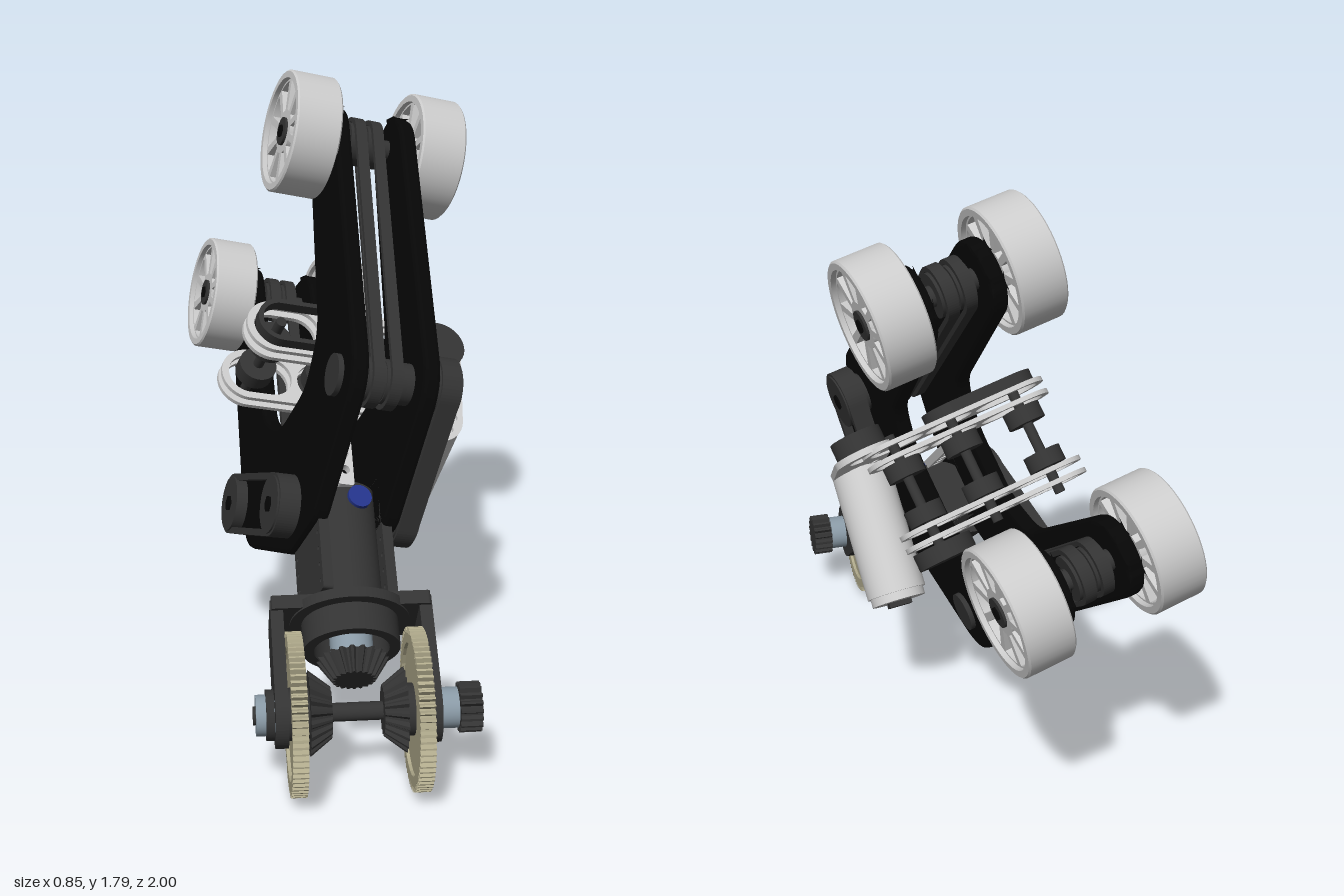
import * as THREE from 'three';

const mat = (color, side = THREE.FrontSide) => new THREE.MeshStandardMaterial({ color, side });
const BLACK = mat(0x060606), DARK = mat(0x333333), GREY = mat(0xcccccc);
const CREAM = mat(0xb0aa8c), STEEL = mat(0x8a9aa6), BLUE = mat(0x24348c);
const DARK_RING = mat(0x333333, THREE.DoubleSide), GREY_RING = mat(0xcccccc, THREE.DoubleSide);
const deg = Math.PI / 180;

function add(parent, name, geo, material, x = 0, y = 0, z = 0) {
  const m = new THREE.Mesh(geo, material);
  m.name = name;
  m.position.set(x, y, z);
  parent.add(m);
  return m;
}

// Extrusion centred on its depth
function slab(shape, depth, bevel = 0) {
  const g = new THREE.ExtrudeGeometry(shape, {
    depth: depth - 2 * bevel, curveSegments: 16, bevelEnabled: bevel > 0,
    bevelThickness: bevel, bevelSize: bevel, bevelOffset: -bevel, bevelSegments: 2,
  });
  return g.translate(0, 0, -depth / 2 + bevel);
}
// Shape (s, t): s runs rearward, t up, thickness across
const sideSlab = (shape, depth, bevel) => slab(shape, depth, bevel).rotateY(Math.PI / 2);
// Shape (x, s): lies flat, thickness upward
const flatSlab = (shape, depth) => slab(shape, depth).rotateX(-Math.PI / 2);
const rod = (r, len, seg = 32) => new THREE.CylinderGeometry(r, r, len, seg).rotateZ(Math.PI / 2);
const disc = (r, h) => new THREE.CylinderGeometry(r, r, h, 36);

// Square-edged ring about the y axis
function ring(inner, outer, width, chamfer = 0) {
  const h = width / 2, c = chamfer;
  const p = [[inner, -h], [outer - c, -h], [outer, c - h], [outer, h - c], [outer - c, h], [inner, h], [inner, -h]];
  const pts = p.flatMap((v) => [new THREE.Vector2(...v), new THREE.Vector2(...v)]);
  return new THREE.LatheGeometry(pts, 48);
}
function capsule(p, q, r, Type = THREE.Shape) {
  const a = Math.atan2(q[1] - p[1], q[0] - p[0]), h = Math.PI / 2;
  const s = new Type();
  s.absarc(q[0], q[1], r, a - h, a + h, false);
  s.absarc(p[0], p[1], r, a + h, a + 3 * h, false);
  s.closePath();
  return s;
}
function loop(p, q, r, wall) {
  const s = capsule(p, q, r);
  s.holes.push(capsule(p, q, r - wall, THREE.Path));
  return s;
}
function circle(x, y, r) {
  return new THREE.Path().absarc(x, y, r, 0, Math.PI * 2, true);
}
// Polygon with rounded corners; each point is [x, y, radius]
function rounded(pts) {
  const s = new THREE.Shape(), n = pts.length;
  pts.forEach(([x, y, r], i) => {
    const toward = ([u, v]) => {
      const d = Math.hypot(u - x, v - y);
      return [x + (u - x) * r / d, y + (v - y) * r / d];
    };
    const a = toward(pts[(i + n - 1) % n]), b = toward(pts[(i + 1) % n]);
    if (i) s.lineTo(...a); else s.moveTo(...a);
    s.quadraticCurveTo(x, y, ...b);
  });
  s.closePath();
  return s;
}
function toothed(r, depth, teeth) {
  const s = new THREE.Shape();
  for (let i = 0; i < teeth * 4; i++) {
    const a = (i + 0.5) / (teeth * 4) * Math.PI * 2, k = i % 4 < 2 ? r : r - depth;
    if (i) s.lineTo(k * Math.cos(a), k * Math.sin(a));
    else s.moveTo(k * Math.cos(a), k * Math.sin(a));
  }
  s.closePath();
  return s;
}
// Toothed cone along z, narrowing toward +z
function bevelGear(r, depth) {
  const g = slab(toothed(r, 0.014, 20), depth), p = g.attributes.position;
  for (let i = 0; i < p.count; i++) {
    const k = p.getZ(i) > 0 ? 0.6 : 1;
    p.setXY(i, p.getX(i) * k, p.getY(i) * k);
  }
  g.computeVertexNormals();
  return g;
}

// Spoked wheel on the x axis
function wheel() {
  const g = new THREE.Group();
  g.name = 'wheel';
  add(g, 'rim', ring(0.16, 0.184, 0.14, 0.005).rotateZ(Math.PI / 2), GREY_RING);
  const web = new THREE.Shape().absarc(0, 0, 0.165, 0, Math.PI * 2, false);
  for (let i = 0; i < 10; i++) {
    const a = i * 36 * deg, w = new THREE.Path();
    w.absarc(0, 0, 0.154, a + 0.08, a + 0.55, false);
    w.absarc(0, 0, 0.066, a + 0.48, a + 0.15, true);
    w.closePath();
    web.holes.push(w);
  }
  add(g, 'spokes', sideSlab(web, 0.11), GREY);
  add(g, 'hub', rod(0.042, 0.125), DARK);
  add(g, 'hubBolt', rod(0.02, 0.135, 6), BLACK);
  return g;
}

// Fork, drive gears and cross shaft
function buildFork(root) {
  const fork = new THREE.Group();
  fork.name = 'fork';
  fork.rotation.x = 38 * deg;
  root.add(fork);
  for (const side of [-1, 1]) {
    add(fork, 'forkArm', sideSlab(capsule([0, 0], [0.2, 0], 0.09), 0.035), DARK, side * 0.205);
    add(fork, 'forkCheek', new THREE.BoxGeometry(0.035, 0.18, 0.12), DARK, side * 0.205, 0, -0.235);
    const gearShape = toothed(0.22, 0.015, 72);
    gearShape.holes.push(circle(0, 0, 0.178));
    add(fork, 'gearRim', sideSlab(gearShape, 0.042), CREAM, side * 0.165);
    add(fork, 'gearWeb', rod(0.185, 0.024, 48), CREAM, side * 0.165);
    add(fork, 'gearHub', rod(0.07, 0.06), DARK, side * 0.16);
    add(fork, 'bevelGear', bevelGear(0.115, 0.06).rotateY(-side * Math.PI / 2), DARK, side * 0.1);
    add(fork, 'shaftBearing', rod(0.055, 0.05), STEEL, side * 0.248);
  }
  const bridge = rounded([[-0.22, -0.1, 0.01], [0.22, -0.1, 0.01], [0.22, 0.1, 0.01], [-0.22, 0.1, 0.01]]);
  bridge.holes.push(circle(0, 0, 0.09));
  add(fork, 'bridge', slab(bridge, 0.04), DARK, 0, 0, -0.285);
  add(fork, 'flange', ring(0.105, 0.167, 0.03).rotateX(Math.PI / 2), DARK_RING, 0, 0, -0.275);
  add(fork, 'collar', ring(0.105, 0.135, 0.1).rotateX(Math.PI / 2), DARK_RING, 0, 0, -0.23);
  add(fork, 'endPinion', bevelGear(0.1, 0.06), DARK, 0, 0, -0.12);
  add(fork, 'pinionHub', new THREE.CylinderGeometry(0.06, 0.06, 0.16, 24).rotateX(Math.PI / 2), STEEL, 0, 0, -0.2);
  add(fork, 'crossShaft', rod(0.025, 0.56), DARK);
  add(fork, 'outputPulley', sideSlab(toothed(0.068, 0.012, 18), 0.06), DARK, 0.305);
  add(fork, 'endCollar', rod(0.068, 0.022), DARK, -0.235);
}

// Rolled body carrying both wheel arms
function buildBody(root) {
  const body = new THREE.Group();
  body.name = 'body';
  body.rotation.set(38 * deg, 0, -16.5 * deg);
  root.add(body);

  add(body, 'neckTube', new THREE.CylinderGeometry(0.1, 0.1, 0.36, 32).rotateX(Math.PI / 2), DARK, 0, 0, -0.48);
  const half = [
    [0.52, 0.11, 0.03], [0.75, 0.505, 0.09], [1.71, 0.53, 0.09], [1.78, 0.415, 0.08],
    [1.72, 0.305, 0.08], [1.06, 0.25, 0.06], [0.95, 0.12, 0.06],
  ];
  const outline = rounded([...half, ...half.map(([s, t, r]) => [s, -t, r]).reverse()]);
  for (const side of [-1, 1]) {
    add(body, 'sidePlate', sideSlab(outline, 0.05, 0.012), BLACK, side * 0.105);
    const cheek = rounded([[0.31, -0.105, 0.01], [0.68, -0.105, 0.01], [0.68, 0.105, 0.01], [0.31, 0.105, 0.01]]);
    for (let i = 0; i < 5; i++) for (const t of [-0.085, 0.085]) cheek.holes.push(circle(0.34 + i * 0.05, t, 0.006));
    add(body, 'neckPlate', sideSlab(cheek, 0.03), DARK, side * 0.095);
  }
  add(body, 'neckSensor', disc(0.035, 0.03), BLUE, 0.02, 0.095, -0.61);
  const bar = rounded([[-0.025, 0.64, 0.01], [0.025, 0.64, 0.01], [0.025, 1.08, 0.01], [-0.025, 1.08, 0.01]]);
  for (let i = 0; i < 7; i++) bar.holes.push(circle(0, 0.69 + i * 0.055, 0.014));
  add(body, 'perforatedBar', flatSlab(bar, 0.025), GREY, -0.02, 0.1);

  for (const up of [-1, 1]) {
    const axle = [1.66, up * 0.415], pivot = [0.826, up * 0.375], idler = [0.62, up * 0.01];
    // Wheels, axle and the drive belts inside the arm
    add(body, 'wheelAxle', rod(0.03, 0.4), DARK, 0, axle[1], -axle[0]);
    add(body, 'pivotShaft', rod(0.06, 0.29), DARK, 0, pivot[1], -pivot[0]);
    for (const side of [-1, 1]) {
      const w = wheel();
      w.position.set(side * 0.197, axle[1], -axle[0]);
      body.add(w);
      add(body, 'armBelt', sideSlab(loop(pivot, axle, 0.08, 0.014), 0.034), DARK, side * 0.027 - 0.005);
      for (const c of [pivot, axle]) add(body, 'beltPulley', rod(0.064, 0.05), DARK, side * 0.027 - 0.005, c[1], -c[0]);
    }
    // Outer belt drive, one on each flank
    const x = up * 0.18;
    add(body, 'outerBelt', sideSlab(loop(pivot, idler, 0.092, 0.02), 0.06), DARK, x);
    add(body, 'beltGuard', sideSlab(capsule(pivot, idler, 0.075), 0.03), BLACK, x - up * 0.015);
    for (const c of [pivot, idler]) {
      add(body, 'outerPulley', rod(0.084, 0.07), DARK, x, c[1], -c[0]);
      add(body, 'pulleyBolt', rod(0.025, 0.08, 6), BLACK, x, c[1], -c[0]);
    }
  }
  buildGearbox(body);
}

// Motor and the transmission in the crotch of the arms
function buildGearbox(body) {
  const motor = new THREE.Group();
  motor.name = 'motor';
  motor.position.set(0.285, -0.045, -0.88);
  motor.rotation.z = 9 * deg;
  body.add(motor);
  add(motor, 'motorCan', disc(0.09, 0.39), GREY);
  add(motor, 'motorEnd', disc(0.082, 0.03), GREY, 0, -0.205);
  add(motor, 'connector', new THREE.BoxGeometry(0.07, 0.02, 0.04), DARK, 0, -0.225);

  const near = [0.255, 0.88], far = [0.275, 1.1];
  const mount = capsule(near, far, 0.09);
  mount.holes.push(circle(...near, 0.03), circle(...far, 0.05));
  for (let i = 0; i < 8; i++) {
    const a = i * 45 * deg;
    mount.holes.push(circle(near[0] + 0.06 * Math.cos(a), near[1] + 0.06 * Math.sin(a), 0.013));
  }
  add(body, 'motorMount', flatSlab(mount, 0.02), GREY, 0, 0.16);
  add(body, 'motorBelt', flatSlab(loop(near, far, 0.05, 0.015), 0.03), DARK, 0, 0.19);
  add(body, 'motorPulley', disc(0.078, 0.06), DARK, far[0], 0.195, -far[1]);

  for (const t of [-0.13, 0.13]) {
    // Open frame pairs with cross bars and pulleys between them
    for (const gap of [-0.02, 0.02]) {
      const frame = capsule([-0.22, 1.13], [0.2, 1.13], 0.088);
      for (const [a, b] of [[-0.22, -0.15], [0.0, 0.02], [0.16, 0.2]]) {
        frame.holes.push(capsule([a, 1.13], [b, 1.13], 0.066, THREE.Path));
      }
      add(body, 'gearboxFrame', flatSlab(frame, 0.014), GREY, 0, t + gap);
    }
    for (const x of [-0.21, 0.0, 0.19]) add(body, 'gearboxPulley', disc(0.058, 0.05), DARK, x, t * 0.55, -1.13);
  }
  for (const x of [-0.21, 0.0, 0.19]) add(body, 'gearboxShaft', disc(0.016, 0.36), DARK, x, 0, -1.13);
  add(body, 'lowerPulley', disc(0.09, 0.05), DARK, 0.19, -0.195, -1.15);
  add(body, 'gearboxBelt', flatSlab(loop([-0.21, 1.13], [0, 1.13], 0.074, 0.015), 0.035), DARK, 0, 0.175);
}

export function createModel() {
  const root = new THREE.Group();
  root.name = 'wheeledRover';
  const chassis = new THREE.Group();
  chassis.name = 'chassis';
  chassis.position.set(0, 0.22, 0.78);
  root.add(chassis);
  buildFork(chassis);
  buildBody(chassis);
  return root;
}
